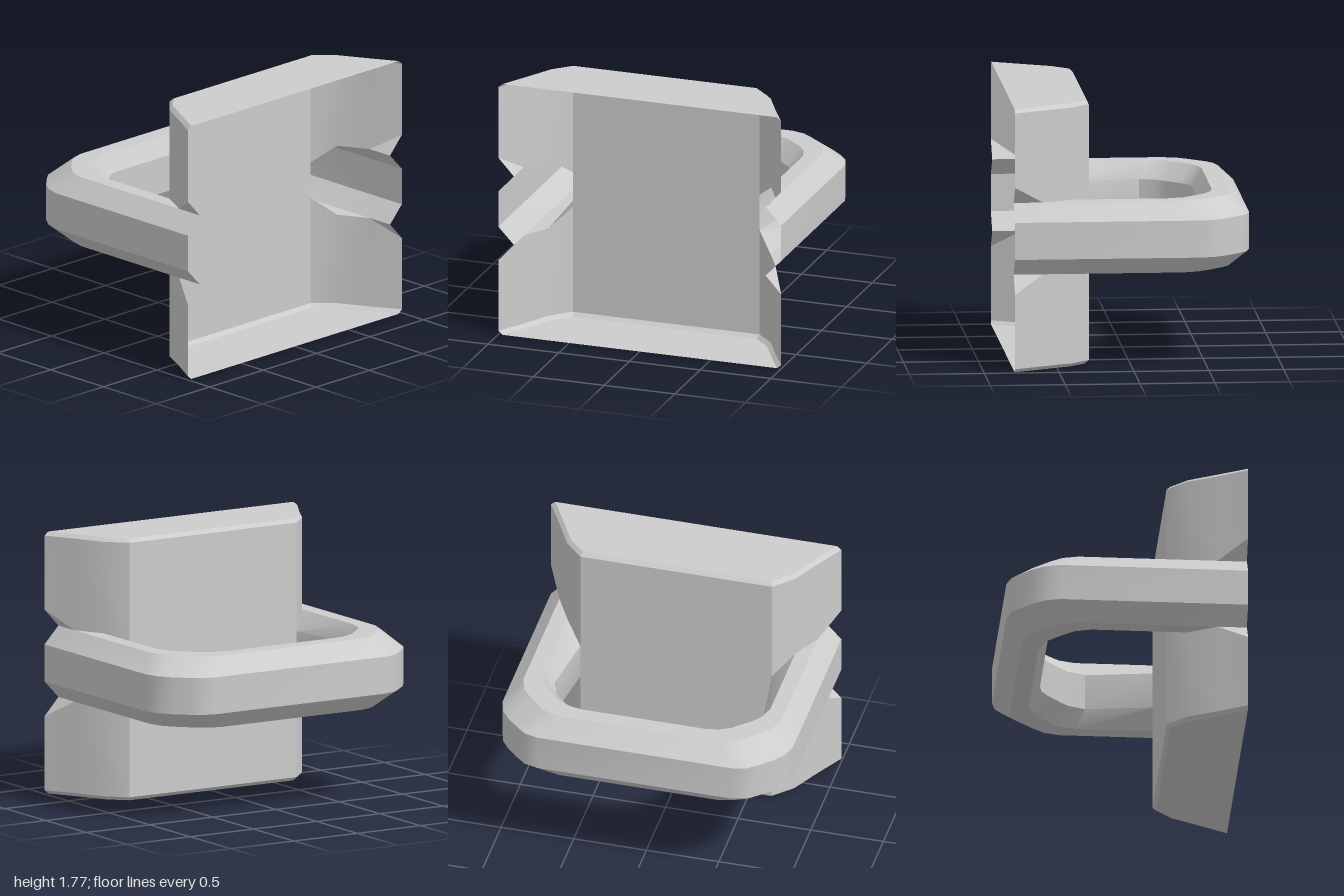
import * as THREE from 'three';
import { toCreasedNormals } from 'three/addons/utils/BufferGeometryUtils.js';

// Surface through rows of [x, y, z] points; keep(i, j) can leave cells open
function grid(rows, keep = () => true) {
  const pos = [];
  const same = (p, q) => p.every((v, k) => v === q[k]);
  const tri = (a, b, c) => {
    if (!same(a, b) && !same(b, c) && !same(a, c)) pos.push(...a, ...b, ...c);
  };
  for (let i = 0; i < rows.length - 1; i++) {
    for (let j = 0; j < rows[i].length - 1; j++) {
      if (!keep(i, j)) continue;
      const a = rows[i][j], b = rows[i][j + 1], c = rows[i + 1][j + 1], d = rows[i + 1][j];
      tri(a, b, d);
      tri(b, c, d);
    }
  }
  const g = new THREE.BufferGeometry();
  g.setAttribute('position', new THREE.Float32BufferAttribute(pos, 3));
  return toCreasedNormals(g, 0.5);
}

export function createModel() {
  const group = new THREE.Group();
  const grey = new THREE.MeshStandardMaterial({ color: 0xcccccc, side: THREE.DoubleSide });
  grey.name = 'grey';
  const add = (name, geometry) => {
    const mesh = new THREE.Mesh(geometry, grey);
    mesh.name = name;
    group.add(mesh);
  };

  const X = 0.795; // open end of the model
  const MID = 0.8875; // height of the horizontal symmetry plane
  const flip = ([x, y, z]) => [x, y, -z];

  // Ring rails in plan [x, z], from the block wall around one corner
  const outer = [[X, 1], [-0.46, 1], [-0.56, 0.97], [-0.64, 0.91], [-0.72, 0.825], [-0.77, 0.765], [-0.795, 0.67]];
  const topOuter = [[0.6, 0.89], [-0.33, 0.89], [-0.435, 0.86], [-0.51, 0.8], [-0.615, 0.695], [-0.655, 0.64], [-0.68, 0.55]];
  const topInner = [[0.4, 0.785], [-0.235, 0.785], [-0.345, 0.75], [-0.405, 0.7], [-0.51, 0.59], [-0.55, 0.51], [-0.565, 0.42]];
  const inner = [[0.275, 0.66], [-0.17, 0.72], [-0.285, 0.675], [-0.335, 0.63], [-0.43, 0.53], [-0.48, 0.46], [-0.495, 0.38]];
  const S = 0.125, T = 0.242; // half heights of the ring sides and flats
  const profile = [
    [outer, -S], [outer, S], [topOuter, T], [topInner, T],
    [inner, S], [inner, -S], [topInner, -T], [topOuter, -T], [outer, -S],
  ];
  const half = outer.map((_, i) => profile.map(([rail, h]) => [rail[i][0], MID + h, rail[i][1]]));
  const mirrored = half.map((row) => row.map(flip)).reverse();
  add('ring', grid([...half, ...mirrored]));

  // Block shell: open on +x, with openings where the ring enters
  const wall = [[X, 1], [0.6, 0.89], [0.4, 0.785], [0.275, 0.66]];
  const inset = [[X, 0.97], [0.605, 0.865], [0.412, 0.762], [0.3, 0.648]];
  const gap = [0.362, T, T, S]; // half height of the opening at each wall point
  const line = (pts, height) => {
    const p = pts.map(([x, z], i) => [x, height(i), z]);
    return [...p, ...p.map(flip).reverse()];
  };
  add('block', grid([
    line(inset, () => 1.775),
    line(wall, () => 1.75),
    line(wall, (i) => MID + gap[i]),
    line(wall, (i) => MID - gap[i]),
    line(wall, () => 0.025),
    line(inset, () => 0),
  ], (i, j) => i !== 2 || j === 3));

  // Flat caps of the block
  const cap = (y) => inset.map(([x, z]) => [x, y, z]);
  add('blockTop', grid([cap(1.775).map(flip), cap(1.775)]));
  add('blockBottom', grid([cap(0), cap(0).map(flip)]));

  // V notches between the ring and the wall, above and below on both sides
  for (const sy of [1, -1]) {
    for (const sz of [1, -1]) {
      const at = (x, h, z) => [x, MID + sy * h, sz * z];
      const tip = at(0.6, T, 0.89);
      const edge = [at(X, S, 1), at(X, T, 0.89), at(X, 0.362, 1)];
      if (sy * sz > 0) edge.reverse();
      add('notch', grid([[tip, tip, tip], edge]));
    }
  }
  return group;
}
